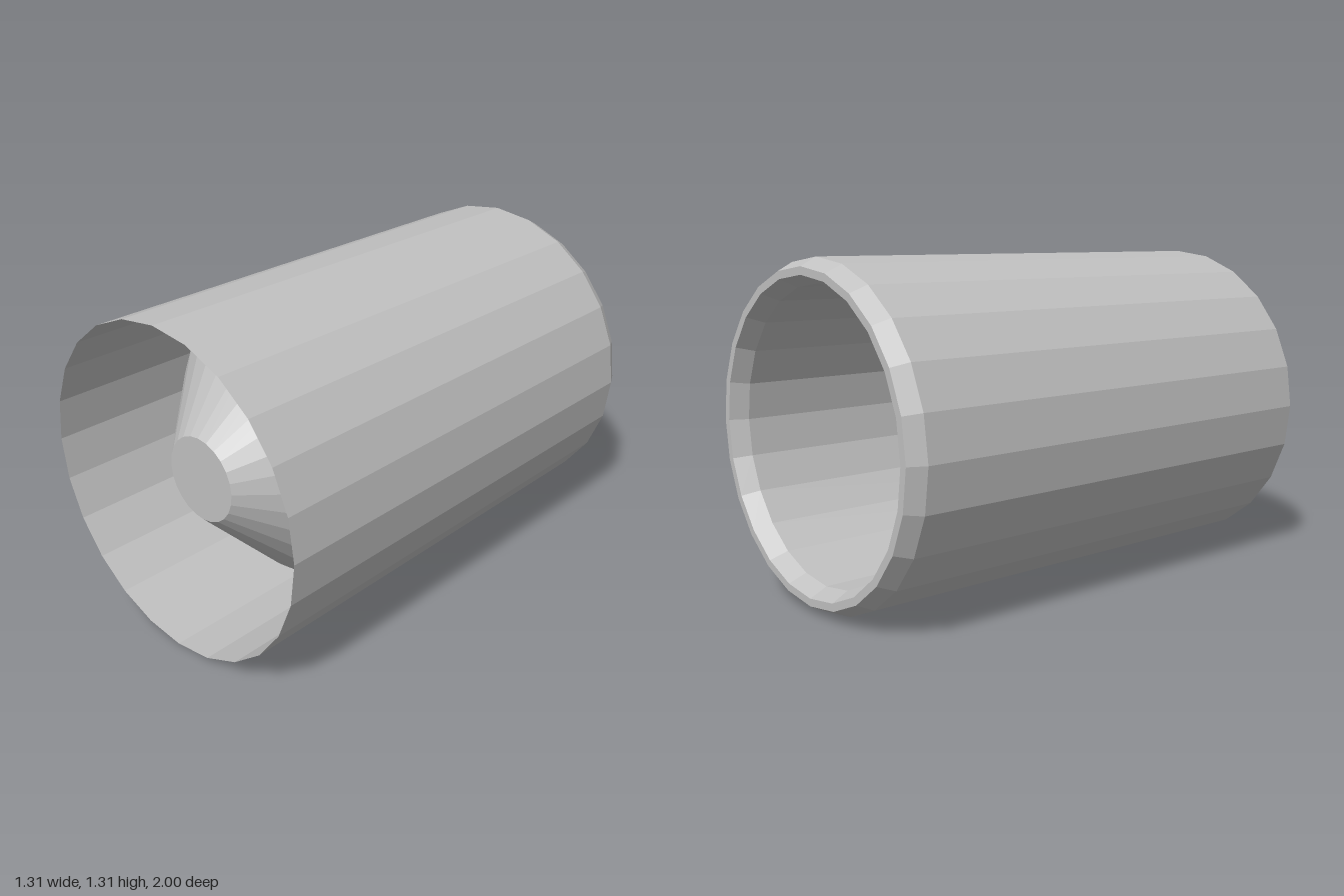
import * as THREE from 'three';

const SIDES = 24;
const CENTRE_Y = 0.655;

export function createModel() {
  const model = new THREE.Group();
  model.name = 'openTubeWithNoseCone';

  const grey = new THREE.MeshStandardMaterial({ color: 0xc0c0c0, side: THREE.DoubleSide });
  grey.name = 'grey';

  // Turns a [radius, z] profile around the z axis with faceted normals
  function turned(name, profile) {
    const points = profile.map(([r, z]) => new THREE.Vector2(r, z));
    const geometry = new THREE.LatheGeometry(points, SIDES).toNonIndexed();
    geometry.computeVertexNormals();
    geometry.rotateX(Math.PI / 2);
    geometry.translate(0, CENTRE_Y, 0);
    const mesh = new THREE.Mesh(geometry, grey);
    mesh.name = name;
    model.add(mesh);
  }

  // Thin outer wall, open at the front
  turned('outerShell', [[0.655, -0.935], [0.655, 1]]);

  // Bevelled rear rim: outer bevel, flat ring, inner bevel
  turned('rearRim', [[0.56, -0.93], [0.592, -1], [0.622, -1], [0.655, -0.935]]);

  // Inner sleeve reaching forward to the cone
  turned('innerSleeve', [[0.56, -0.93], [0.555, 0.46]]);

  // Truncated cone recessed behind the front opening
  turned('noseCone', [[0.555, 0.46], [0.17, 0.84]]);

  // Flat round tip of the cone
  const tip = new THREE.Mesh(new THREE.CircleGeometry(0.17, SIDES), grey);
  tip.position.set(0, CENTRE_Y, 0.84);
  tip.name = 'coneTip';
  model.add(tip);

  return model;
}
